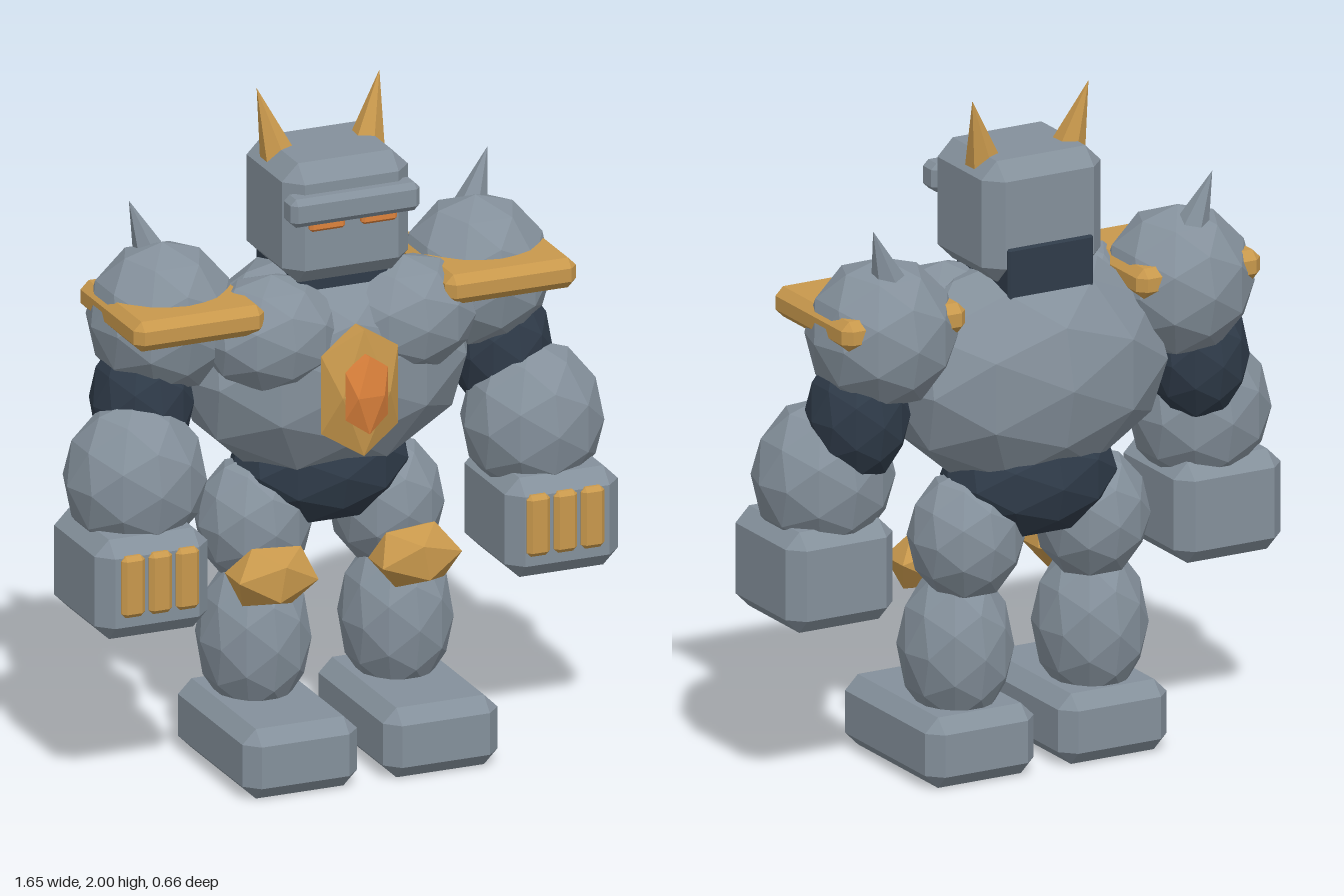
import * as THREE from 'three';
import { ConvexGeometry } from 'three/addons/geometries/ConvexGeometry.js';

const flat = (name, color) => {
  const m = new THREE.MeshStandardMaterial({ color, flatShading: true });
  m.name = name;
  return m;
};

export function createModel() {
  const stone = flat('stone', 0x84909b);
  const dark = flat('dark stone', 0x2f3b49);
  const gold = flat('gold', 0xc8984c);
  const ember = flat('ember', 0xdd823c);
  const root = new THREE.Group();
  root.name = 'golem';

  const add = (parent, name, geometry, material) => {
    const mesh = new THREE.Mesh(geometry, material);
    mesh.name = name;
    parent.add(mesh);
    return mesh;
  };

  // Faceted boulder: icosphere stretched to three radii
  const rock = (parent, name, material, [x, y, z], [rx, ry, rz], detail = 1, turn = 0) => {
    const g = new THREE.IcosahedronGeometry(1, detail).rotateZ(turn).scale(rx, ry, rz);
    const mesh = add(parent, name, g, material);
    mesh.position.set(x, y, z);
    return mesh;
  };

  // Box with bevelled edges, given by its lower and upper corners
  const block = (parent, name, material, lo, hi, bevel) => {
    const a = new THREE.Vector3(...lo), b = new THREE.Vector3(...hi);
    const half = b.clone().sub(a).multiplyScalar(0.5);
    const points = [];
    for (const i of [-1, 1]) for (const j of [-1, 1]) for (const k of [-1, 1]) {
      const [x, y, z] = [half.x - bevel, half.y - bevel, half.z - bevel];
      points.push(
        new THREE.Vector3(i * half.x, j * y, k * z),
        new THREE.Vector3(i * x, j * half.y, k * z),
        new THREE.Vector3(i * x, j * y, k * half.z));
    }
    const mesh = add(parent, name, new ConvexGeometry(points), material);
    mesh.position.copy(a.add(b).multiplyScalar(0.5));
    return mesh;
  };

  // Cone leaning from a base point to a tip
  const spike = (parent, name, material, base, tip, radius) => {
    const a = new THREE.Vector3(...base), d = new THREE.Vector3(...tip).sub(a);
    const h = d.length();
    const mesh = add(parent, name, new THREE.ConeGeometry(radius, h, 6).translate(0, h / 2, 0), material);
    mesh.position.copy(a);
    mesh.quaternion.setFromUnitVectors(new THREE.Vector3(0, 1, 0), d.normalize());
    return mesh;
  };

  // Trunk
  rock(root, 'torso', stone, [0, 1.17, -0.05], [0.45, 0.34, 0.28]);
  rock(root, 'pelvis', dark, [0, 0.86, -0.07], [0.27, 0.19, 0.2]);
  rock(root, 'chestSetting', gold, [0, 1.16, 0.215], [0.14, 0.224, 0.06], 0, Math.PI / 2);
  rock(root, 'chestGem', ember, [0, 1.165, 0.265], [0.077, 0.137, 0.042], 0, Math.PI / 2);

  // Head
  const head = new THREE.Group();
  head.name = 'head';
  root.add(head);
  block(head, 'neck', dark, [-0.14, 1.36, -0.2], [0.14, 1.58, 0.1], 0.006);
  block(head, 'skull', stone, [-0.195, 1.47, -0.19], [0.195, 1.83, 0.16], 0.05);
  block(head, 'brow', stone, [-0.2, 1.665, 0.12], [0.2, 1.75, 0.2], 0.017);

  for (const s of [1, -1]) {
    const side = new THREE.Group();
    side.name = s > 0 ? 'leftSide' : 'rightSide';
    root.add(side);
    // Mirrored block: swaps the x limits on the right
    const pair = (name, material, lo, hi, bevel) => s > 0
      ? block(side, name, material, lo, hi, bevel)
      : block(side, name, material, [-hi[0], lo[1], lo[2]], [-lo[0], hi[1], hi[2]], bevel);

    // Face and chest
    pair('eye', ember, [0.025, 1.64, 0.145], [0.135, 1.675, 0.178], 0.008);
    spike(side, 'horn', gold, [s * 0.135, 1.79, -0.05], [s * 0.19, 2, -0.08], 0.055);
    rock(side, 'pectoral', stone, [s * 0.205, 1.31, 0.06], [0.215, 0.175, 0.175]);

    // Shoulder
    rock(side, 'shoulder', stone, [s * 0.485, 1.355, -0.06], [0.22, 0.225, 0.215]).position.z = -0.075;
    pair('shoulderPlate', gold, [0.28, 1.36, -0.22], [0.685, 1.45, 0.205], 0.025);
    spike(side, 'shoulderSpike', stone, [s * 0.497, 1.53, -0.135], [s * 0.555, 1.69, -0.15], 0.05);

    // Arm
    rock(side, 'upperArm', dark, [s * 0.555, 1.12, -0.06], [0.15, 0.2, 0.155]);
    rock(side, 'forearm', stone, [s * 0.615, 0.925, 0.03], [0.21, 0.23, 0.195]);
    pair('fist', stone, [0.46, 0.51, -0.14], [0.81, 0.81, 0.235], 0.045);
    for (let i = -1; i <= 1; i++) {
      const x = 0.627 + i * 0.084;
      pair('knuckle', gold, [x - 0.036, 0.585, 0.2], [x + 0.036, 0.77, 0.252], 0.013);
    }

    // Leg
    rock(side, 'thigh', stone, [s * 0.205, 0.705, -0.07], [0.17, 0.195, 0.165]);
    rock(side, 'kneeGuard', gold, [s * 0.222, 0.59, 0.1], [0.145, 0.1, 0.1], 0, s * 0.12);
    rock(side, 'shin', stone, [s * 0.22, 0.37, -0.035], [0.165, 0.24, 0.175]);
    pair('foot', stone, [0.04, 0, -0.21], [0.395, 0.21, 0.33], 0.042);
  }
  return root;
}
